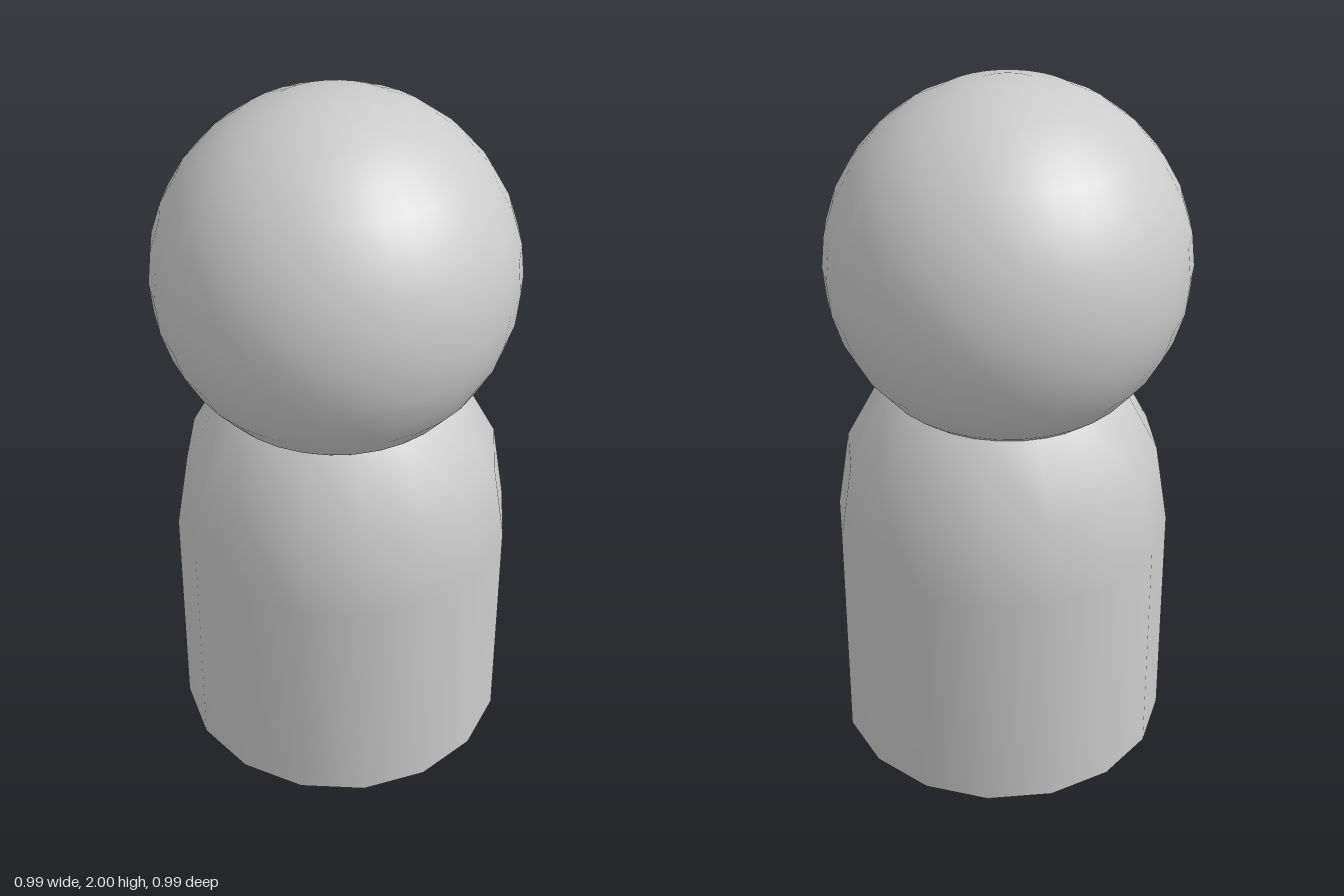
import * as THREE from 'three';

export function createModel() {
  const model = new THREE.Group();
  const grey = new THREE.MeshStandardMaterial({ color: 0xcccccc });
  const greyOpen = new THREE.MeshStandardMaterial({ color: 0xcccccc, side: THREE.DoubleSide });

  // Ball head
  const head = new THREE.Mesh(new THREE.SphereGeometry(0.496, 32, 16), grey);
  head.name = 'head';
  head.position.set(-0.001, 1.504, -0.001);
  model.add(head);

  // Hollow body: straight wall, then a domed shoulder running up into the head
  const radius = 0.475, wallTop = 0.685, domeHeight = 0.62, domeSteps = 4;
  const profile = [new THREE.Vector2(radius, 0)];
  for (let i = 0; i <= domeSteps; i++) {
    const a = (i / domeSteps) * Math.PI / 2;
    profile.push(new THREE.Vector2(
      i === domeSteps ? 0 : radius * Math.cos(a),
      wallTop + domeHeight * Math.sin(a)
    ));
  }
  const body = new THREE.Mesh(new THREE.LatheGeometry(profile, 16), greyOpen);
  body.name = 'body';
  body.position.set(0.01, 0, 0.014);
  model.add(body);

  return model;
}
